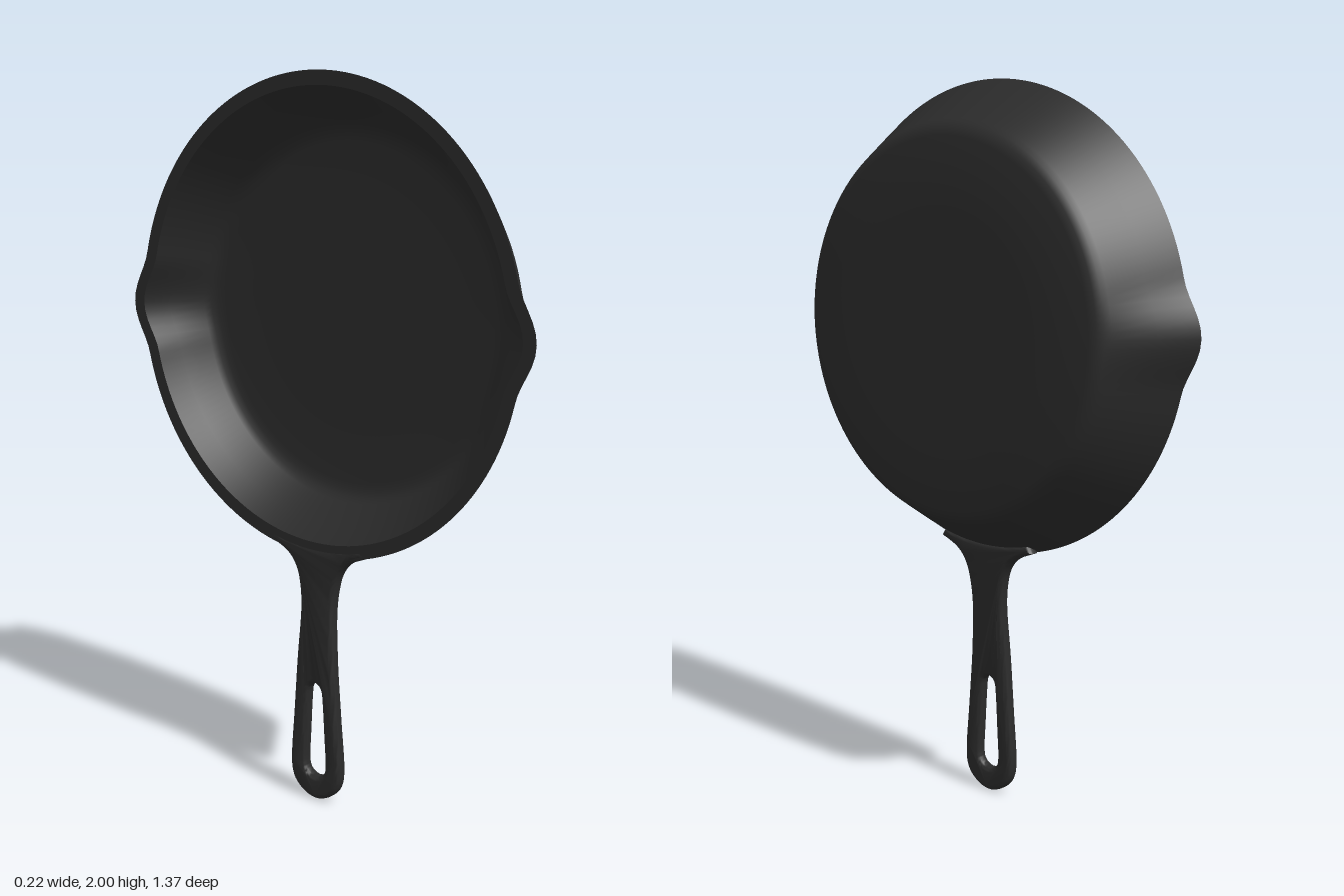
import * as THREE from 'three';
import { toCreasedNormals } from 'three/addons/utils/BufferGeometryUtils.js';

const CENTER_Y = 1.355; // height of the pan's axis, which runs along x

// Move every vertex of a geometry by a rule
function moveVertices(geometry, rule) {
  const p = geometry.attributes.position;
  const v = new THREE.Vector3();
  for (let i = 0; i < p.count; i++) {
    rule(v.fromBufferAttribute(p, i));
    p.setXYZ(i, v.x, v.y, v.z);
  }
  return geometry;
}

// Turned bowl: inside floor -> inside wall -> rim -> outside wall -> base
function bowlGeometry() {
  const profile = [ // radius, x
    [0, 0.056], [0.3, 0.056], [0.465, 0.056], [0.488, 0.053], [0.505, 0.045], [0.519, 0.03],
    [0.57, -0.045], [0.607, -0.098], [0.645, -0.098],
    [0.593, -0.013], [0.539, 0.074], [0.53, 0.088], [0.515, 0.101], [0.495, 0.108],
    [0.3, 0.108], [0, 0.108],
  ].map(([r, x]) => new THREE.Vector2(r, x));
  const g = new THREE.LatheGeometry(profile, 160).rotateZ(-Math.PI / 2);

  // Pull two pouring lips out of the wall, strongest at the rim
  moveVertices(g, (v) => {
    const r = Math.hypot(v.y, v.z);
    if (r < 0.48) return;
    const off = Math.atan2(Math.abs(v.y), Math.abs(v.z)) / 0.23;
    if (off >= 1) return;
    const fade = THREE.MathUtils.clamp((0.09 - v.x) / 0.19, 0, 1);
    const scale = 1 + (0.04 * fade * (0.5 + 0.5 * Math.cos(Math.PI * off))) / r;
    v.y *= scale;
    v.z *= scale;
  });
  g.translate(0, CENTER_Y, 0);
  return toCreasedNormals(g, 0.7);
}

// Flat handle with flared root, rounded end and hanging hole
function handleGeometry() {
  const side = [ // half width, y
    [0.17, 0.731], [0.115, 0.708], [0.083, 0.678], [0.064, 0.63], [0.056, 0.55],
    [0.064, 0.42], [0.077, 0.25], [0.088, 0.11], [0.079, 0.05], [0.045, 0.015],
  ];
  const outline = [
    ...side,
    [0, 0.001],
    ...side.map(([w, y]) => [-w, y]).reverse(),
  ].map(([w, y]) => new THREE.Vector2(w, y));
  const shape = new THREE.Shape();
  shape.moveTo(outline[0].x, outline[0].y);
  shape.splineThru(outline.slice(1));
  // The root follows the curve of the wall
  for (let i = -6; i <= 6; i++) {
    const z = i * 0.026;
    shape.lineTo(z, CENTER_Y - Math.sqrt(0.62 ** 2 - z * z));
  }

  const hole = new THREE.Path();
  hole.moveTo(0, 0.345);
  hole.splineThru([
    [-0.02, 0.33], [-0.026, 0.29], [-0.032, 0.19], [-0.036, 0.11], [-0.028, 0.08], [0, 0.068],
    [0.028, 0.08], [0.036, 0.11], [0.032, 0.19], [0.026, 0.29], [0.02, 0.33], [0, 0.345],
  ].map(([w, y]) => new THREE.Vector2(w, y)));
  shape.holes.push(hole);

  const g = new THREE.ExtrudeGeometry(shape, {
    depth: 0.01, curveSegments: 5, bevelEnabled: true,
    bevelThickness: 0.013, bevelSize: 0.013, bevelOffset: -0.013, bevelSegments: 4,
  });
  g.translate(0, 0, -0.005).rotateY(-Math.PI / 2);
  // Lean the upper part towards the wall and thicken it there
  moveVertices(g, (v) => {
    const t = THREE.MathUtils.smoothstep(v.y, 0.36, 0.7);
    v.x = v.x * (1 + 0.1 * t) - 0.092 + 0.013 * t;
  });
  return toCreasedNormals(g, 0.9);
}

export function createModel() {
  const castIron = new THREE.MeshStandardMaterial({ color: 0x2b2b2b });
  castIron.name = 'cast iron black';

  const model = new THREE.Group();
  model.name = 'skillet';
  const add = (name, geometry) => {
    const mesh = new THREE.Mesh(geometry, castIron);
    mesh.name = name;
    model.add(mesh);
  };
  add('panBowl', bowlGeometry());
  add('handle', handleGeometry());
  return model;
}
